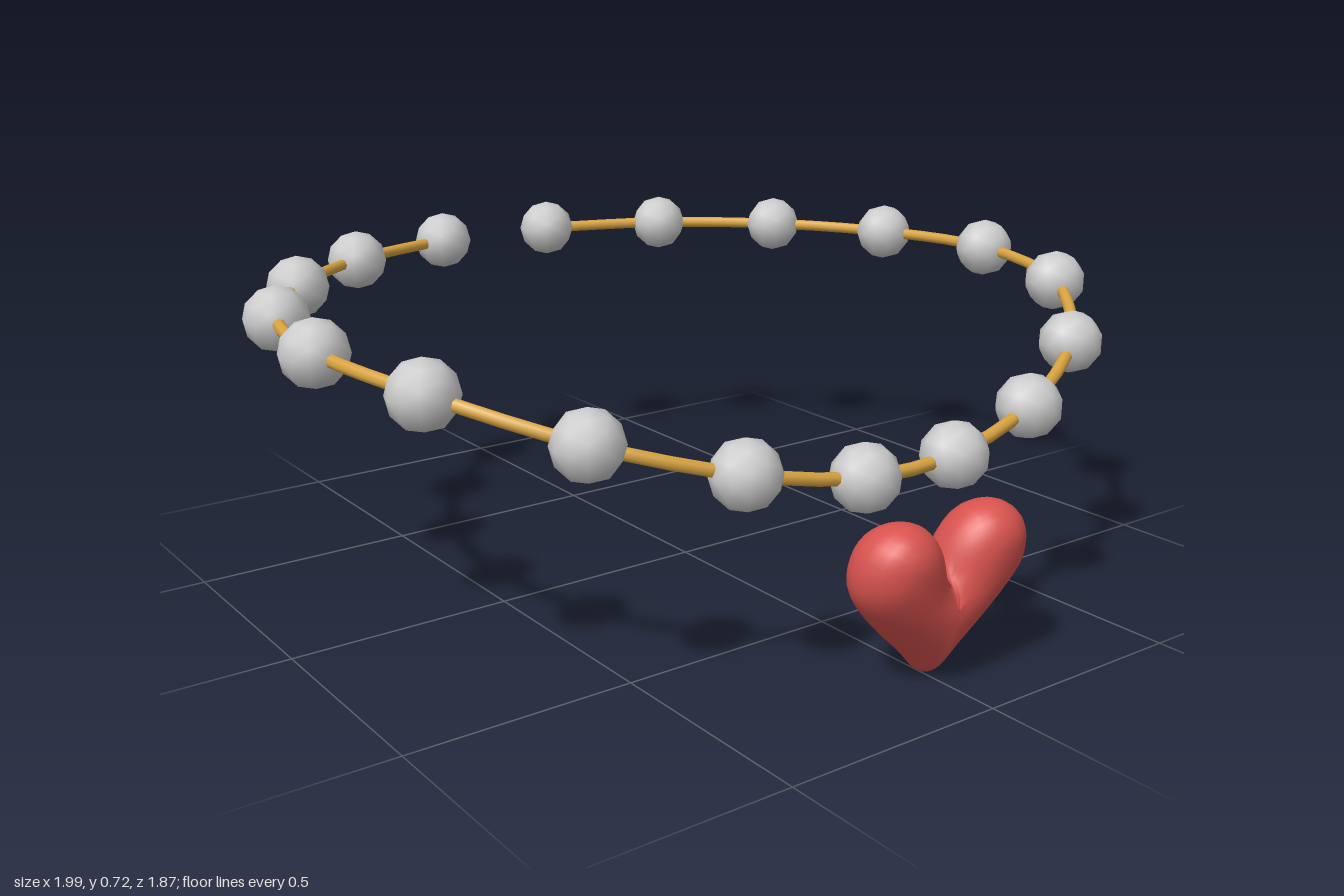
import * as THREE from 'three';

const V = (x, y, z) => new THREE.Vector3(x, y, z);

// Bead centres of the left half, front to back
const HALF = [
  [0.12, 0.433, 0.75], [0.38, 0.48, 0.708], [0.645, 0.555, 0.585],
  [0.85, 0.63, 0.352], [0.925, 0.655, 0.045], [0.87, 0.655, -0.275],
  [0.705, 0.655, -0.55], [0.46, 0.655, -0.758], [0.16, 0.655, -0.87],
];

// Half outline of the heart, from the tip up and round to the notch
const HEART = [
  [0, 0.01], [0.045, 0.058], [0.1, 0.108], [0.163, 0.172], [0.2, 0.225], [0.207, 0.28],
  [0.19, 0.33], [0.155, 0.36], [0.115, 0.368], [0.07, 0.355], [0.03, 0.312], [0, 0.238],
];

// Puffed heart: shrinking copies of the outline, raised by their distance from the edge
function heartGeometry(round = 0.086, rings = 10) {
  const half = new THREE.CatmullRomCurve3(HEART.map(([x, y]) => V(x, y, 0))).getPoints(28);
  const mirrored = half.slice(1, -1).reverse().map((p) => V(-p.x, p.y, 0));
  const outline = [...half, ...mirrored];
  const n = outline.length;
  const edges = outline.map((p, i) => new THREE.Line3(p, outline[(i + 1) % n]));
  const centre = V(0, 0.18, 0);
  const near = V(0, 0, 0);
  const position = [];
  const index = [];
  for (let k = 0; k <= 2 * rings; k++) {
    const scale = Math.sin((k / (2 * rings)) * Math.PI);
    const side = Math.sign(rings - k);
    for (const corner of outline) {
      const p = centre.clone().lerp(corner, scale);
      const gap = Math.min(...edges.map((e) => e.closestPointToPoint(p, true, near).distanceTo(p)));
      const inset = Math.max(0, round - gap);
      const depth = Math.sqrt(Math.max(0, round * round - inset * inset));
      // The top leans forward
      position.push(p.x, p.y, 0.788 + 0.175 * p.y + side * depth);
    }
  }
  for (let k = 0; k < 2 * rings; k++) {
    for (let i = 0; i < n; i++) {
      const j = (i + 1) % n;
      const a = k * n + i, b = a + n, c = (k + 1) * n + j, d = k * n + j;
      index.push(a, b, c, a, c, d);
    }
  }
  const geometry = new THREE.BufferGeometry();
  geometry.setAttribute('position', new THREE.Float32BufferAttribute(position, 3));
  geometry.setIndex(index);
  geometry.computeVertexNormals();
  return geometry;
}

export function createModel() {
  const model = new THREE.Group();
  model.name = 'necklace';
  const grey = new THREE.MeshStandardMaterial({ color: 0xcccccc });
  const gold = new THREE.MeshStandardMaterial({ color: 0xd9a441 });
  const red = new THREE.MeshStandardMaterial({ color: 0xd9534f });

  // All bead centres, from one open end at the back round to the other
  const left = HALF.map((p) => V(...p));
  const right = left.map((p) => V(-p.x, p.y, p.z)).reverse();
  const centres = [...right, ...left];

  // Cord threaded through the beads
  const path = new THREE.CatmullRomCurve3(centres);
  const cord = new THREE.Mesh(new THREE.TubeGeometry(path, 68, 0.014, 8, false), gold);
  cord.name = 'cord';
  model.add(cord);

  // Beads
  const beads = new THREE.Group();
  beads.name = 'beads';
  const beadGeometry = new THREE.IcosahedronGeometry(0.072, 1);
  centres.forEach((centre, i) => {
    const bead = new THREE.Mesh(beadGeometry, grey);
    bead.name = `bead${i + 1}`;
    bead.position.copy(centre);
    beads.add(bead);
  });
  model.add(beads);

  // Heart pendant
  const heart = new THREE.Mesh(heartGeometry(), red);
  heart.name = 'heartPendant';
  model.add(heart);

  return model;
}
